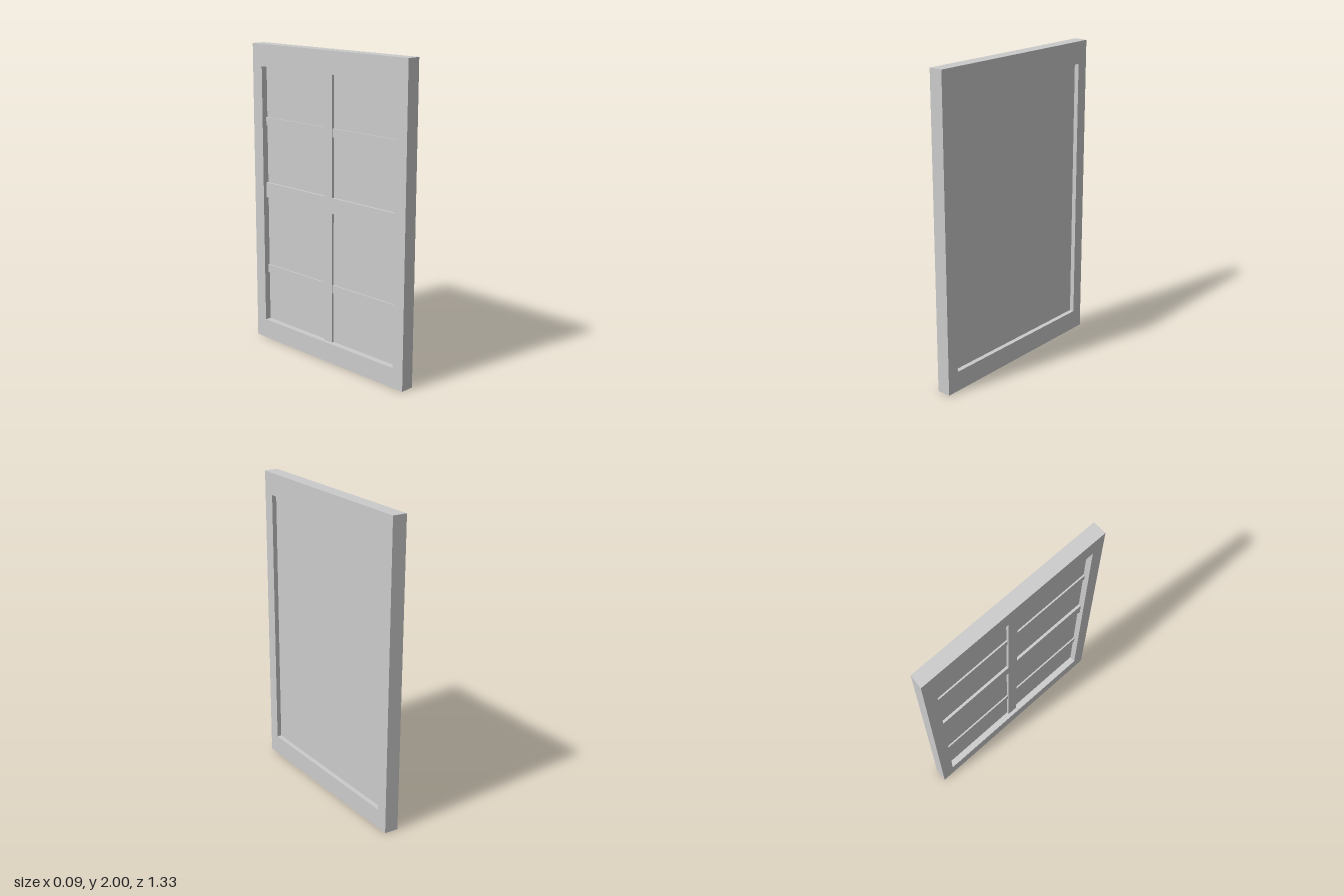
import * as THREE from 'three';

const HALF_T = 0.045, HALF_W = 0.665, HEIGHT = 2;
const OPEN = { z0: -0.58, z1: 0.585, y0: 0.13, y1: 1.857 };
const PANEL_BACK = -0.004, PANEL_FRONT = 0.015;

export function createModel() {
  const model = new THREE.Group();
  const material = new THREE.MeshStandardMaterial({ color: 0xcccccc, flatShading: true });

  const add = (name, geometry) => {
    const mesh = new THREE.Mesh(geometry, material);
    mesh.name = name;
    model.add(mesh);
  };

  // Box given by its lower and upper limits on each axis
  const addBox = (name, [x0, x1], [y0, y1], [z0, z1]) => {
    const geometry = new THREE.BoxGeometry(x1 - x0, y1 - y0, z1 - z0);
    geometry.translate((x0 + x1) / 2, (y0 + y1) / 2, (z0 + z1) / 2);
    add(name, geometry);
  };

  const rectangle = (path, a0, b0, a1, b1) =>
    path.moveTo(a0, b0).lineTo(a1, b0).lineTo(a1, b1).lineTo(a0, b1).closePath();

  // Outer frame: drawn in the z-y plane, with the opening cut out
  const outline = new THREE.Shape();
  rectangle(outline, -HALF_W, 0, HALF_W, HEIGHT);
  const opening = new THREE.Path();
  rectangle(opening, OPEN.z0, OPEN.y0, OPEN.z1, OPEN.y1);
  outline.holes.push(opening);
  const frame = new THREE.ExtrudeGeometry(outline, { depth: 2 * HALF_T, bevelEnabled: false });
  frame.translate(0, 0, -HALF_T).rotateY(-Math.PI / 2);

  // Closing edge is planed at a slight slant
  const p = frame.attributes.position;
  for (let i = 0; i < p.count; i++) {
    if (p.getX(i) > 0 && p.getZ(i) < -0.66) p.setZ(i, -HALF_W + 0.007);
  }
  frame.computeVertexNormals();
  add('frame', frame);

  // Thin panel filling the opening
  const across = [OPEN.z0, OPEN.z1];
  addBox('panel', [PANEL_BACK, PANEL_FRONT], [OPEN.y0, OPEN.y1], across);

  // Central rail with upright stiles above and below it, all flush
  const railDepth = [-0.021, PANEL_BACK];
  const rail = [0.988, 1.088];
  addBox('middleRail', railDepth, rail, across);
  addBox('upperStile', railDepth, [rail[1], OPEN.y1], [-0.033, 0.037]);
  addBox('lowerStile', railDepth, [OPEN.y0, rail[0]], [-0.033, 0.037]);

  // Slimmer battens on either side of the stiles
  for (const [level, y] of [['lower', 0.463], ['upper', 1.469]]) {
    for (const [side, z] of [['Right', [OPEN.z0, -0.033]], ['Left', [0.037, OPEN.z1]]]) {
      addBox(`${level}Batten${side}`, [-0.014, PANEL_BACK], [y, y + 0.055], z);
    }
  }
  return model;
}
